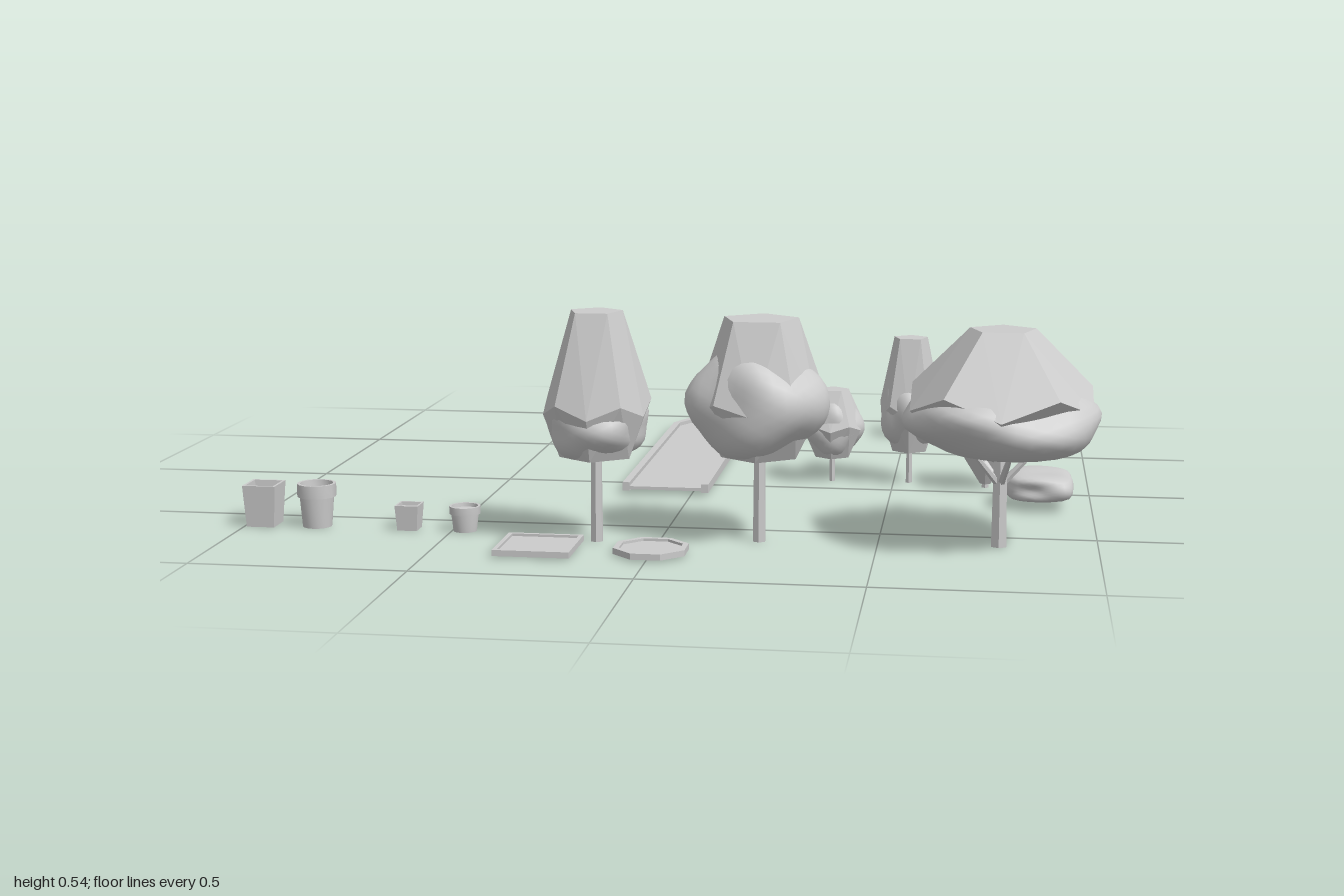
import * as THREE from 'three';
import { mergeVertices, toCreasedNormals } from 'three/addons/utils/BufferGeometryUtils.js';
import { ConvexGeometry } from 'three/addons/geometries/ConvexGeometry.js';

const smooth = new THREE.MeshStandardMaterial({ color: 0xcccccc, side: THREE.DoubleSide });
const faceted = new THREE.MeshStandardMaterial({ color: 0xcccccc, flatShading: true, side: THREE.DoubleSide });

function add(parent, name, geometry, material, x = 0, y = 0, z = 0) {
  const mesh = new THREE.Mesh(geometry, material);
  mesh.name = name;
  mesh.position.set(x, y, z);
  parent.add(mesh);
  return mesh;
}

function group(parent, name, x, z) {
  const g = new THREE.Group();
  g.name = name;
  g.position.set(x, 0, z);
  parent.add(g);
  return g;
}

// Lumpy foliage: a sphere pushed in and out by slow waves; power > 2 makes it boxier
function lump(rx, ry, rz, seed, rough = 0.08, power = 2) {
  let geo = new THREE.IcosahedronGeometry(1, 6);
  geo.deleteAttribute('normal');
  geo.deleteAttribute('uv');
  geo = mergeVertices(geo);
  const p = geo.attributes.position, v = new THREE.Vector3();
  for (let i = 0; i < p.count; i++) {
    v.fromBufferAttribute(p, i);
    const wave = Math.sin(3.7 * v.x + seed) * Math.sin(4.1 * v.y + 2 * seed) + Math.sin(4.3 * v.z + 3 * seed) * Math.sin(3.1 * v.x - seed);
    const square = Math.pow(Math.abs(v.x) ** power + Math.abs(v.y) ** power + Math.abs(v.z) ** power, -1 / power);
    v.multiplyScalar(square * (1 + rough * wave));
    p.setXYZ(i, v.x * rx, v.y * ry, v.z * rz);
  }
  geo.computeVertexNormals();
  return geo;
}

// Faceted crown: five-cornered rings [y, radius], the lower two turned by half a step
function crownHull(rings) {
  const points = [];
  rings.forEach(([y, r], level) => {
    for (let i = 0; i < 5; i++) {
      const a = Math.PI + (i + (level > 1 ? 0.5 : 0)) * Math.PI * 0.4;
      points.push(new THREE.Vector3(r * Math.sin(a), y, r * Math.cos(a)));
    }
  });
  return new ConvexGeometry(points);
}

function limb(parent, name, from, to, r0, r1) {
  const a = new THREE.Vector3(...from), b = new THREE.Vector3(...to), d = b.clone().sub(a);
  const mesh = add(parent, name, new THREE.CylinderGeometry(r1, r0, d.length(), 6), faceted);
  mesh.position.copy(a).addScaledVector(d, 0.5);
  mesh.quaternion.setFromUnitVectors(new THREE.Vector3(0, 1, 0), d.normalize());
}

function tree(parent, { name, x, z, rings, leaf, trunk, seed, branches = 0 }) {
  const g = group(parent, name, x, z);
  const [y, rx, ry, rz = rx] = leaf;
  add(g, 'crown', crownHull(rings), faceted);
  add(g, 'foliage', lump(rx, ry, rz, seed), smooth, 0, y, 0);
  limb(g, 'trunk', [0, 0, 0], [0, y, 0], trunk, trunk * 0.8);
  for (let i = 0; i < branches; i++) {
    const a = (i / branches) * Math.PI * 2 + 0.3;
    limb(g, 'branch', [0, 0.14, 0], [0.085 * Math.sin(a), 0.235, 0.085 * Math.cos(a)], 0.009, 0.006);
  }
}

// Hollow tapered pot filled with soil, with an optional raised rim
function pot(parent, name, x, z, sides, half, height, rim) {
  const g = group(parent, name, x, z);
  const r = sides === 4 ? half * Math.SQRT2 : half;
  const outer = rim
    ? [[0, 0], [0.75, 0], [0.88, 0.7], [1, 0.7], [1, 1]]
    : [[0, 0], [0.84, 0], [1, 1]];
  const profile = [...outer, [0.85, 1], [0.82, 0.85], [0, 0.85]].map(([a, b]) => new THREE.Vector2(a * r, b * height));
  const geo = new THREE.LatheGeometry(profile, sides, Math.PI / 4);
  add(g, 'pot', sides === 4 ? geo : toCreasedNormals(geo, 0.6), sides === 4 ? faceted : smooth);
}

// Flat slab from an outline in x and z, standing between two heights
function slab(parent, name, outline, y0, y1, hole) {
  const shape = new THREE.Shape(outline.map(([x, z]) => new THREE.Vector2(x, -z)));
  if (hole) shape.holes.push(new THREE.Path(hole.map(([x, z]) => new THREE.Vector2(x, -z))));
  const geo = new THREE.ExtrudeGeometry(shape, { depth: y1 - y0, bevelEnabled: false });
  geo.rotateX(-Math.PI / 2);
  return add(parent, name, geo, faceted, 0, y0, 0);
}

function bed(parent, name, x, z, sides, radius) {
  const g = group(parent, name, x, z);
  const ring = (r) => Array.from({ length: sides }, (_, i) => {
    const a = ((i + 0.5) / sides) * Math.PI * 2;
    return [r * Math.cos(a), r * Math.sin(a)];
  });
  slab(g, 'frame', ring(radius), 0.004, 0.018, ring(radius - 0.014));
  slab(g, 'soil', ring(radius - 0.013), 0.005, 0.012);
}

export function createModel() {
  const model = new THREE.Group();
  model.name = 'gardenSet';

  // Pots in a row
  pot(model, 'largeSquarePot', -0.96, 0.6, 4, 0.04, 0.1, false);
  pot(model, 'largeRoundPot', -0.83, 0.6, 16, 0.046, 0.104, true);
  pot(model, 'smallSquarePot', -0.605, 0.6, 4, 0.028, 0.06, false);
  pot(model, 'smallRoundPot', -0.47, 0.6, 16, 0.037, 0.06, true);

  // Framed beds
  bed(model, 'squareBed', -0.258, 0.768, 4, 0.124);
  bed(model, 'octagonBed', 0.0, 0.765, 8, 0.088);

  // Long bed with a kerb, rounded at the back and open at the front
  const longBed = group(model, 'longBed', -0.065, 0);
  const arch = (w, back) => [[-w, 0.14], [-w, -0.73], [-w * 0.72, back + 0.035], [0, back], [w * 0.72, back + 0.035], [w, -0.73], [w, 0.14]];
  slab(longBed, 'kerb', [...arch(0.11, -0.84), ...arch(0.092, -0.818).reverse()], 0.008, 0.03);
  slab(longBed, 'soil', arch(0.093, -0.82), 0.012, 0.02);

  // Trees: rings run from the flat top down to the underside of the crown
  [
    { name: 'tallTree', x: -0.143, z: 0.66, trunk: 0.015, seed: 1, leaf: [0.275, 0.118, 0.082],
      rings: [[0.535, 0.063], [0.33, 0.128], [0.3, 0.122], [0.2, 0.085]] },
    { name: 'roundTree', x: 0.228, z: 0.61, trunk: 0.016, seed: 2.2, leaf: [0.325, 0.152, 0.135, 0.145],
      rings: [[0.518, 0.09], [0.335, 0.155], [0.31, 0.145], [0.2, 0.09]] },
    { name: 'wideTree', x: 0.775, z: 0.585, trunk: 0.02, seed: 3.1, leaf: [0.3, 0.222, 0.095, 0.213], branches: 5,
      rings: [[0.5, 0.078], [0.365, 0.215], [0.32, 0.215], [0.225, 0.12]] },
    { name: 'smallRoundTree', x: 0.34, z: -0.1, trunk: 0.008, seed: 4, leaf: [0.145, 0.074, 0.075],
      rings: [[0.243, 0.042], [0.155, 0.083], [0.14, 0.078], [0.065, 0.045]] },
    { name: 'smallTallTree', x: 0.54, z: -0.105, trunk: 0.009, seed: 5, leaf: [0.19, 0.074, 0.105],
      rings: [[0.382, 0.045], [0.21, 0.082], [0.18, 0.076], [0.085, 0.045]] },
    { name: 'pointedBush', x: 0.738, z: -0.07, trunk: 0.01, seed: 6, leaf: [0.135, 0.082, 0.066],
      rings: [[0.208, 0.058], [0.155, 0.092], [0.125, 0.086], [0.01, 0.014]] },
  ].forEach((t) => tree(model, t));

  // Low hedge: a boxy lump
  add(model, 'hedge', lump(0.08, 0.032, 0.088, 2.5, 0.06, 5), smooth, 0.872, 0.055, 0.135);

  // Round shrubs on short stems: x, z, centre height, radius, half height
  [
    ['smallShrub', 0.262, -0.748, 0.065, 0.037, 0.042],
    ['squatShrub', 0.523, -0.782, 0.08, 0.072, 0.05],
    ['roundShrub', 0.83, -0.782, 0.118, 0.071, 0.063],
  ].forEach(([name, x, z, y, r, h], i) => {
    const g = group(model, name, x, z);
    add(g, 'foliage', lump(r, h, r, i + 0.5, 0.05), smooth, 0, y, 0);
    limb(g, 'stem', [0, 0.008, 0], [0, y, 0], 0.004, 0.006);
  });

  return model;
}
